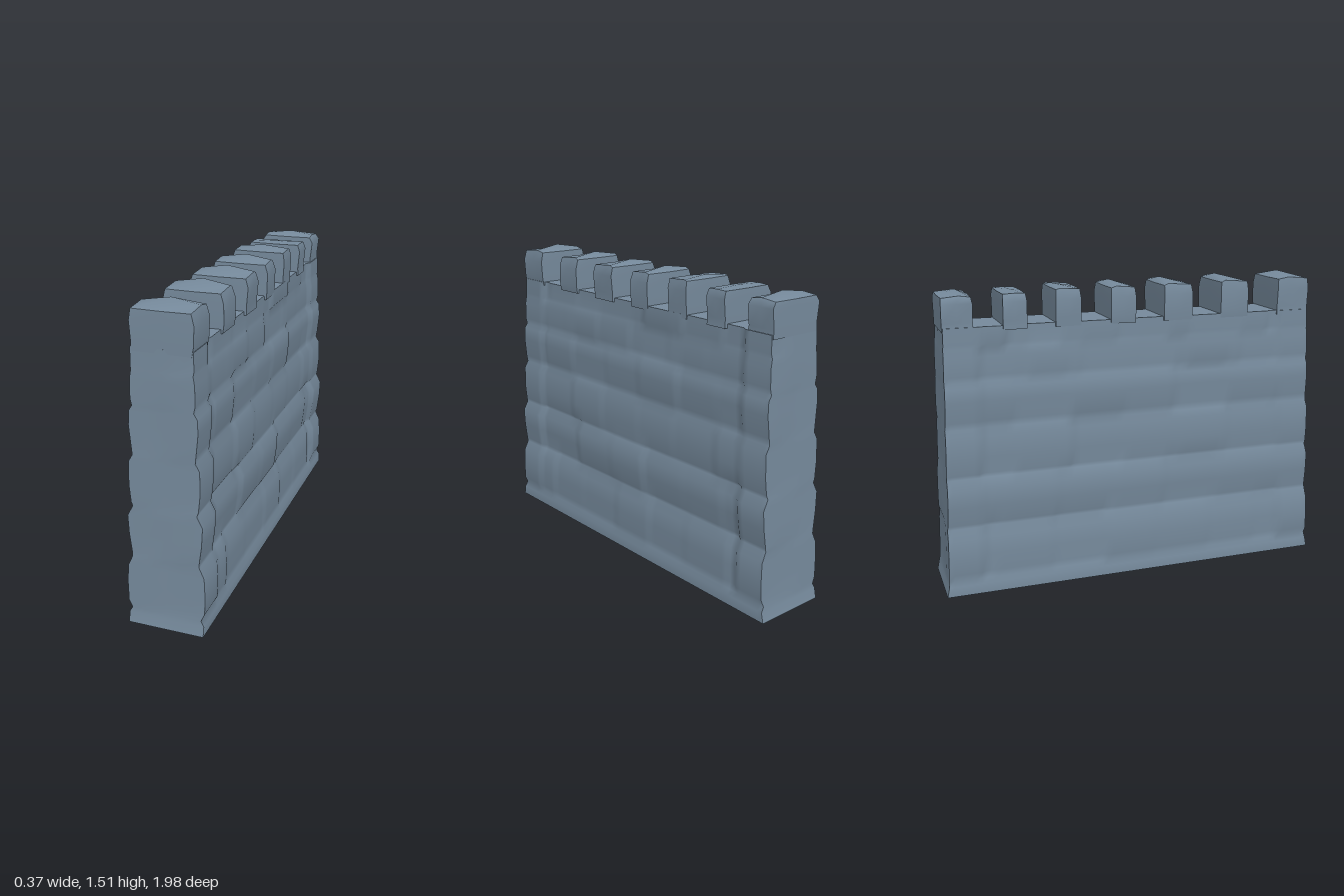
import * as THREE from 'three';

// Repeatable value from 0 to 1 for a pair of whole numbers
function hash(a, b) {
  const s = Math.sin(a * 127.1 + b * 311.7 + 4.3) * 43758.5453;
  return s - Math.floor(s);
}

// Rows up the wall: height, half thickness, stone course
const ROWS = [
  [0, 0.183, 0], [0.05, 0.183, 0], [0.075, 0.169, 0],
  [0.11, 0.185, 1], [0.2, 0.187, 1], [0.29, 0.183, 1], [0.34, 0.16, 1],
  [0.36, 0.164, 2], [0.45, 0.176, 2], [0.54, 0.181, 2], [0.59, 0.155, 2],
  [0.61, 0.16, 3], [0.69, 0.168, 3], [0.8, 0.167, 3], [0.835, 0.147, 3],
  [0.87, 0.154, 4], [0.97, 0.164, 4], [1.035, 0.161, 4], [1.06, 0.145, 4],
  [1.09, 0.151, 5], [1.18, 0.15, 5], [1.22, 0.143, 5],
  [1.24, 0.147, 6], [1.32, 0.145, 6],
];

// Merlons along the wall: z from, z to, peak z, shoulder height, peak height
const MERLONS = [
  [0.77, 0.943, 0.83, 1.48, 1.512],
  [0.45, 0.6, 0.475, 1.477, 1.508],
  [0.145, 0.295, 0.17, 1.473, 1.502],
  [-0.13, -0.003, -0.1, 1.472, 1.5],
  [-0.405, -0.28, -0.385, 1.475, 1.492],
  [-0.66, -0.545, -0.6, 1.465, 1.472],
  [-0.945, -0.8, -0.86, 1.458, 1.483],
];

// Tapering wall whose faces bulge stone by stone, with proud piers at both ends
function wallGeometry() {
  const rows = ROWS.length - 1;
  const geo = new THREE.BoxGeometry(1, 1, 1, 4, rows, 72);
  const p = geo.attributes.position;
  for (let i = 0; i < p.count; i++) {
    const [y, half, course] = ROWS[Math.round((p.getY(i) + 0.5) * rows)];
    const side = Math.sign(p.getX(i));
    const t = p.getZ(i) * 2;
    const end = Math.abs(t) === 1;
    const pier = Math.abs(t) > 0.82;
    const stone = Math.floor((t + hash(course, 9) * 0.3) / 0.29 + 20);
    const dent = pier || course === 0 ? 0.005 * hash(course, t > 0 ? 2 : 5)
      : 0.006 + 0.016 * hash(course * 3 + side, stone);
    const reach = (y < 0.06 ? 0.992 - y * 0.2 : 0.982 - y * 0.028)
      - (end && y > 0 ? 0.005 * hash(course, side + 3) : 0);
    p.setXYZ(i, p.getX(i) * 2 * (half - dent), y, t * reach);
  }
  geo.computeVertexNormals();
  return geo;
}

// Block with slightly drawn-in corners and a low off-centre peak
function merlonGeometry([z0, z1, peakZ, shoulder, peak], index) {
  const base = 1.3;
  const geo = new THREE.BoxGeometry(2, 1, 1, 2, 3, 2);
  const p = geo.attributes.position;
  const heights = [base, 1.34, 1.43, shoulder];
  const widths = [0.142, 0.143, 0.149, 0.135];
  for (let i = 0; i < p.count; i++) {
    const x = p.getX(i), row = Math.round((p.getY(i) + 0.5) * 3);
    const s = p.getZ(i);
    let y = heights[row];
    let z = s === 0 ? (row === 3 ? peakZ : (z0 + z1) / 2) : s < 0 ? z0 : z1;
    if (row === 3 && s === 0) y = x === 0 ? peak : shoulder + (peak - shoulder) * 0.3;
    if (row === 3 && s !== 0 && x !== 0) z -= Math.sign(s) * 0.004;
    p.setXYZ(i, x * (widths[row] - 0.008 * hash(index, row + x)), y, z);
  }
  geo.computeVertexNormals();
  return geo;
}

export function createModel() {
  const model = new THREE.Group();
  model.name = 'castleWall';
  const stone = new THREE.MeshStandardMaterial({ color: 0x768a9c });
  stone.name = 'blue grey stone';

  const wall = new THREE.Mesh(wallGeometry(), stone);
  wall.name = 'wall';
  model.add(wall);

  const battlements = new THREE.Group();
  battlements.name = 'battlements';
  MERLONS.forEach((m, i) => {
    const merlon = new THREE.Mesh(merlonGeometry(m, i), stone);
    merlon.name = `merlon${i + 1}`;
    battlements.add(merlon);
  });
  model.add(battlements);
  return model;
}
